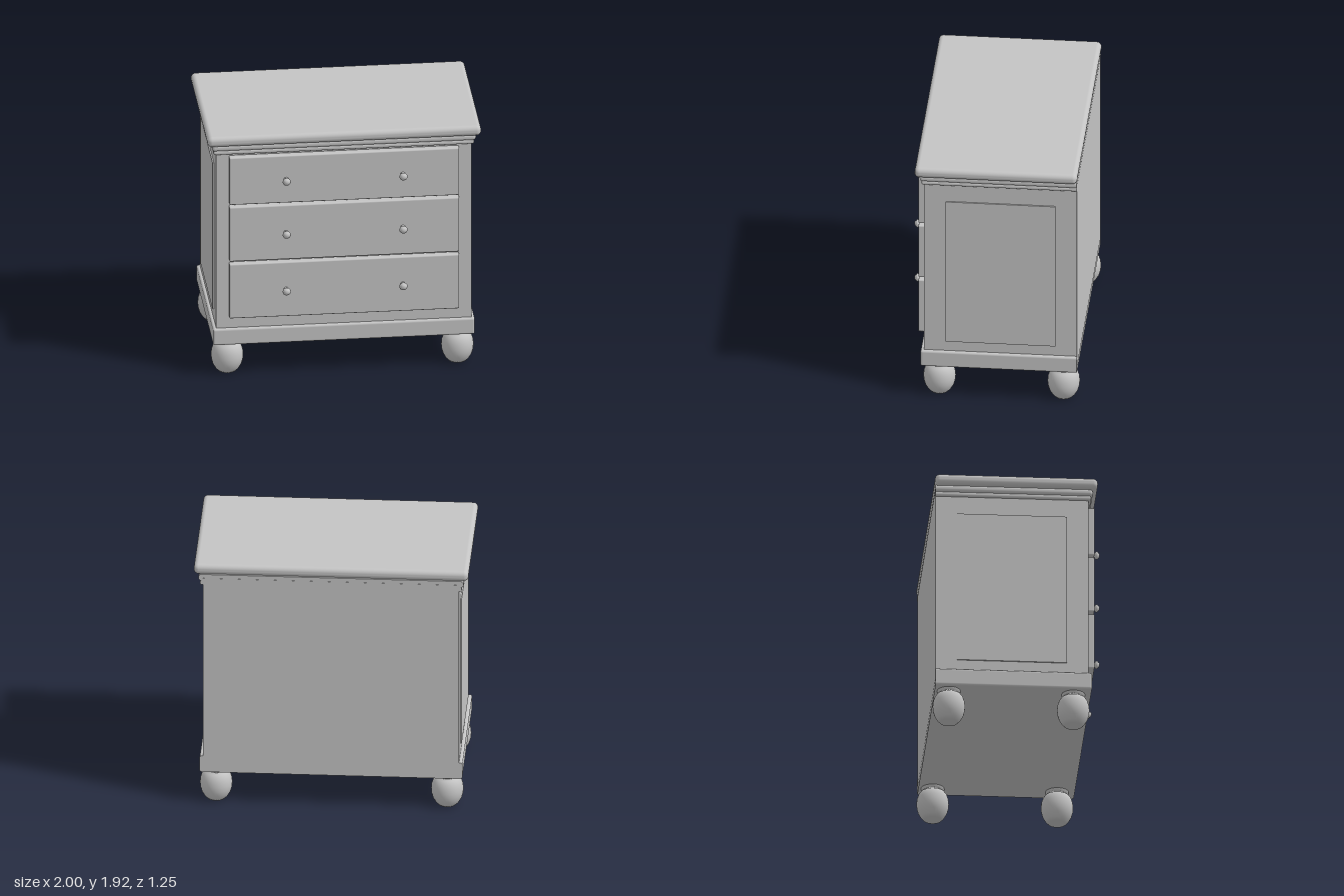
import * as THREE from 'three';
import { RoundedBoxGeometry } from 'three/addons/geometries/RoundedBoxGeometry.js';

const BACK = -0.607;

export function createModel() {
  const model = new THREE.Group();
  model.name = 'chestOfDrawers';
  const paint = new THREE.MeshStandardMaterial({ color: 0xc4c4c4 });
  paint.name = 'grey paint';

  function add(name, geometry, x = 0, y = 0, z = 0) {
    const mesh = new THREE.Mesh(geometry, paint);
    mesh.name = name;
    mesh.position.set(x, y, z);
    model.add(mesh);
    return mesh;
  }

  // Rounded block given by its limits
  function block(name, x0, x1, y0, y1, z0, z1, radius) {
    const geometry = new RoundedBoxGeometry(x1 - x0, y1 - y0, z1 - z0, 4, radius);
    geometry.translate((x0 + x1) / 2, (y0 + y1) / 2, (z0 + z1) / 2);
    return add(name, geometry);
  }

  // Moulding with rounded front and sides, cut flat at the back
  function moulding(name, halfWidth, y0, y1, front, radius) {
    const { geometry } = block(name, -halfWidth, halfWidth, y0, y1, BACK - radius, front, radius);
    const p = geometry.attributes.position;
    const n = geometry.attributes.normal;
    for (let i = 0; i < p.count; i += 3) {
      let flat = true;
      for (let k = i; k < i + 3; k++) {
        if (p.getZ(k) > BACK + 1e-4) flat = false;
        else p.setZ(k, BACK);
      }
      if (flat) for (let k = i; k < i + 3; k++) n.setXYZ(k, 0, 0, -1);
    }
  }

  // Carcass
  const body = new THREE.BoxGeometry(1.866, 1.52, 1.118);
  add('carcass', body, 0, 1.06, -0.049);

  // Top and stepped mouldings
  block('top', -1, 1, 1.847, 1.925, -0.612, 0.574, 0.034);
  moulding('upperMoulding', 0.965, 1.8, 1.85, 0.54, 0.022);
  moulding('lowerMoulding', 0.953, 1.768, 1.802, 0.528, 0.014);
  moulding('plinth', 0.957, 0.25, 0.38, 0.534, 0.016);

  // Raised panels on both sides
  for (const s of [-1, 1]) {
    const name = s > 0 ? 'leftPanel' : 'rightPanel';
    add(name, new THREE.BoxGeometry(0.03, 1.17, 0.8), s * 0.928, 1.045, -0.05);
  }

  // Drawers with two turned knobs each
  const knobProfile = [
    [0.018, -0.005], [0.018, 0.002], [0.01, 0.006], [0.009, 0.024], [0.018, 0.029],
    [0.028, 0.036], [0.03, 0.043], [0.027, 0.05], [0.02, 0.054], [0.017, 0.06],
    [0.01, 0.064], [0, 0.065],
  ].map(([r, y]) => new THREE.Vector2(r, y));
  const knob = new THREE.LatheGeometry(knobProfile, 24);
  knob.rotateX(Math.PI / 2);
  const drawers = [[0.473, 0.905, 0.69], [0.928, 1.36, 1.143], [1.38, 1.756, 1.567]];
  for (const [y0, y1, knobY] of drawers) {
    block('drawer', -0.84, 0.84, y0, y1, 0.48, 0.56, 0.009);
    for (const s of [-1, 1]) add('knob', knob, s * 0.427, knobY, 0.56);
  }

  // Bun feet with a narrow neck
  const footProfile = [
    [0, 0], [0.066, 0], [0.086, 0.022], [0.105, 0.055], [0.115, 0.09], [0.118, 0.125],
    [0.114, 0.162], [0.104, 0.193], [0.088, 0.217], [0.072, 0.226], [0.074, 0.233],
    [0.085, 0.245], [0.085, 0.26],
  ].map(([r, y]) => new THREE.Vector2(r, y));
  const foot = new THREE.LatheGeometry(footProfile, 32);
  for (const x of [-0.842, 0.842]) {
    for (const z of [0.404, -0.503]) add('foot', foot, x, 0, z);
  }

  return model;
}
